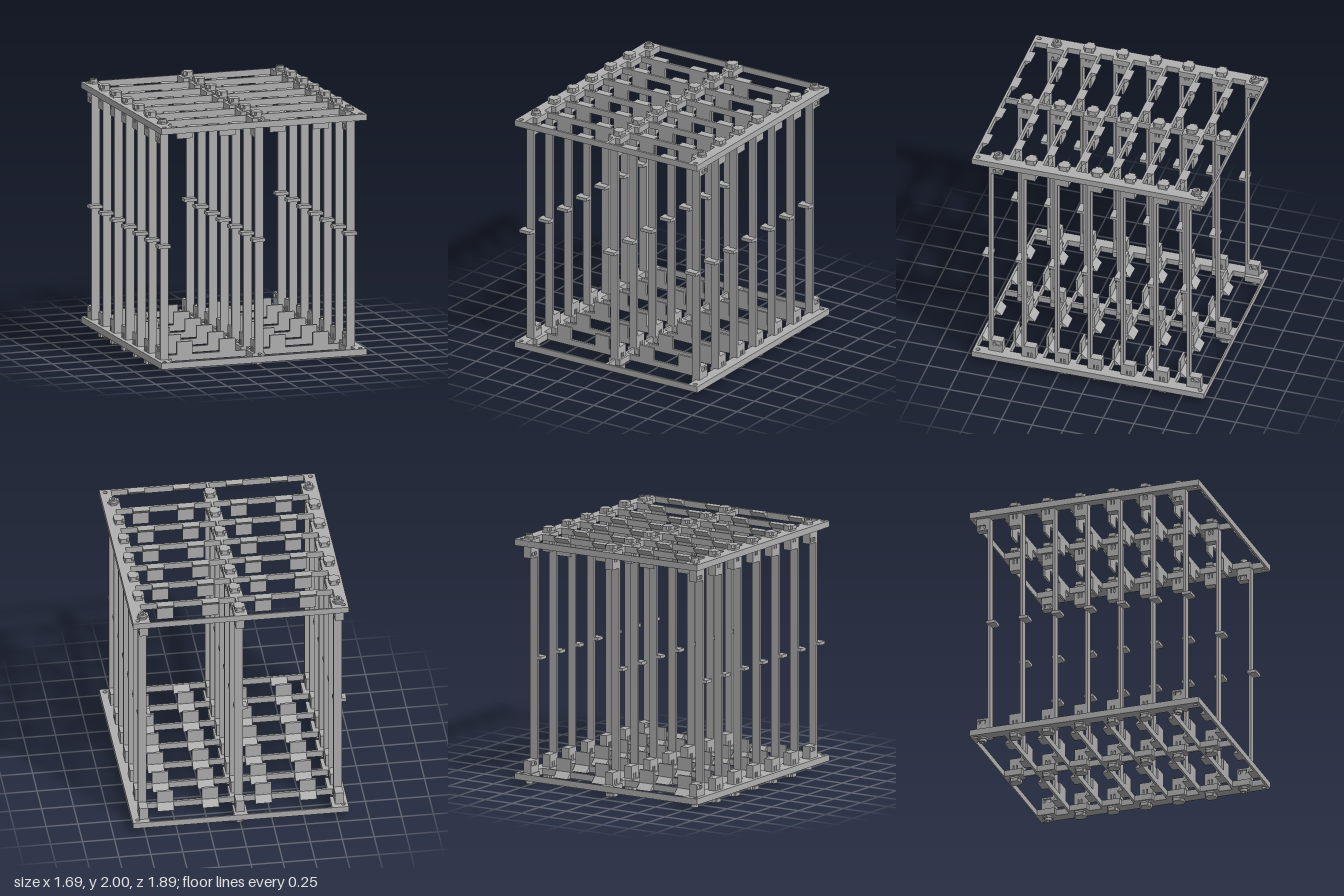
import * as THREE from 'three';

const ROWS = Array.from({ length: 7 }, (_, i) => -0.857 + 0.268 * i); // z of each fastener row
const COLUMNS = [-0.778, 0, 0.754]; // x of each post column
const FLAPS = [-0.56, -0.21, 0.205, 0.558]; // x of the guide flaps
const HEAD = 0.008; // fasteners sit slightly off the post centre

const polygon = (points, Type = THREE.Shape) => new Type(points.map(([x, y]) => new THREE.Vector2(x, y)));
const rect = (x0, y0, x1, y1, Type) => polygon([[x0, y0], [x1, y0], [x1, y1], [x0, y1]], Type);
const ring = (r, n, Type) => polygon(Array.from({ length: n }, (_, i) => {
  const a = (i / n) * Math.PI * 2;
  return [r * Math.cos(a), r * Math.sin(a)];
}), Type);

// Shape drawn in plan (x, -z), raised from y0 to y1
function plan(shape, y0, y1) {
  return new THREE.ExtrudeGeometry(shape, { depth: y1 - y0, bevelEnabled: false, curveSegments: 8 })
    .rotateX(-Math.PI / 2).translate(0, y0, 0);
}

// Shape drawn in side profile (z, y), centred across width w in x
function profile(shape, w) {
  return new THREE.ExtrudeGeometry(shape, { depth: w, bevelEnabled: false })
    .rotateY(-Math.PI / 2).translate(w / 2, 0, 0);
}

function box(x0, x1, y0, y1, z0, z1) {
  return new THREE.BoxGeometry(x1 - x0, y1 - y0, z1 - z0)
    .translate((x0 + x1) / 2, (y0 + y1) / 2, (z0 + z1) / 2);
}

// Mirror a geometry from the bottom end to the top end, keeping faces outward
function flipToTop(source) {
  const g = source.index ? source.toNonIndexed() : source.clone();
  g.scale(1, -1, 1).translate(0, 2, 0);
  const p = g.attributes.position;
  const a = new THREE.Vector3(), b = new THREE.Vector3();
  for (let i = 0; i < p.count; i += 3) {
    a.fromBufferAttribute(p, i + 1);
    b.fromBufferAttribute(p, i + 2);
    p.setXYZ(i + 1, b.x, b.y, b.z);
    p.setXYZ(i + 2, a.x, a.y, a.z);
  }
  g.computeVertexNormals();
  return g;
}

// Frame plate with two columns of stepped openings and corner holes
function plateGeometry() {
  const s = rect(-0.845, -0.943, 0.845, 0.943);
  for (const z of ROWS) {
    const a = -(z - 0.075), b = -(z + 0.068), c = -(z + 0.174);
    s.holes.push(polygon([[-0.715, a], [-0.055, a], [-0.055, b], [-0.01, b],
      [-0.01, c], [-0.755, c], [-0.755, b], [-0.715, b]], THREE.Path));
    s.holes.push(polygon([[0.05, a], [0.71, a], [0.71, b], [0.755, b],
      [0.755, c], [0.01, c], [0.01, b], [0.05, b]], THREE.Path));
  }
  for (const x of [-0.807, 0.803]) {
    for (const z of [-0.905, 0.9]) {
      const hole = new THREE.Path();
      hole.absarc(x, z, 0.017, 0, Math.PI * 2);
      s.holes.push(hole);
    }
  }
  return plan(s, 0.045, 0.095);
}

export function createModel() {
  const model = new THREE.Group();
  model.name = 'rackFrame';
  const grey = new THREE.MeshStandardMaterial({ color: 0xb0b0b0 });
  grey.name = 'grey';

  const add = (name, geometry, x = 0, z = 0) => {
    const mesh = new THREE.Mesh(geometry, grey);
    mesh.name = name;
    mesh.position.set(x, 0, z);
    model.add(mesh);
  };
  // Geometry for the bottom end and its mirrored copy for the top end
  const pair = g => [['lower', g], ['upper', flipToTop(g)]];
  const addPair = (name, ends, x, z) => {
    for (const [end, g] of ends) add(end + name, g, x, z);
  };

  addPair('Plate', pair(plateGeometry()), 0, 0);

  // Post end blocks: slotted for clips, pocketed for nuts
  const clipShape = rect(-0.04, 0.095, 0.052, 0.195);
  clipShape.holes.push(rect(-0.01, 0.1, -0.001, 0.138, THREE.Path), rect(0.017, 0.1, 0.026, 0.138, THREE.Path));
  const clipBlock = pair(profile(clipShape, 0.068));
  const nutShape = rect(-0.04, 0.095, 0.052, 0.195);
  nutShape.holes.push(rect(-0.028, 0.152, 0.036, 0.18, THREE.Path));
  const nutBlock = pair(profile(nutShape, 0.068));
  const nut = pair(new THREE.CylinderGeometry(0.031, 0.031, 0.024, 6).translate(0, 0.166, 0.004));

  // Clip head with a side tongue, on a narrower neck
  const clipHead = pair(plan(polygon([[-0.05, -0.028], [-0.03, -0.028], [-0.022, -0.045], [0.02, -0.045],
    [0.035, -0.025], [0.035, 0.025], [0.02, 0.045], [-0.022, 0.045], [-0.03, 0.028], [-0.05, 0.028]]), 0, 0.028));
  const clipNeck = pair(box(-0.04, 0.028, 0.028, 0.046, -0.036, 0.036));

  // Bolt head with a hexagonal socket, on a washer
  const boltShape = ring(0.03, 20);
  boltShape.holes.push(ring(0.017, 6, THREE.Path));
  const boltHead = pair(plan(boltShape, 0.008, 0.036));
  const washer = pair(plan(ring(0.043, 6), 0.03, 0.046));

  const post = box(-0.034, 0.034, 0.095, 1.905, 0.051, 0.072);
  const postTab = box(-0.068, 0.034, 0.986, 1.012, 0.051, 0.126);

  // Posts and fasteners
  ROWS.forEach((z, row) => {
    COLUMNS.forEach((x, column) => {
      const bolted = (row === 0 || row === 6) && column !== 1;
      add('post', post, x, z);
      add('postTab', postTab, x, z);
      addPair('PostBlock', bolted ? nutBlock : clipBlock, x, z);
      if (bolted) {
        addPair('Nut', nut, x, z);
        addPair('BoltHead', boltHead, x + HEAD, z);
        addPair('Washer', washer, x + HEAD, z);
      } else {
        addPair('ClipHead', clipHead, x + HEAD, z);
        addPair('ClipNeck', clipNeck, x + HEAD, z);
      }
    });
  });

  // Lead-in ramps on every crossbar, upright flaps on the inner ones
  const ramp = pair(profile(polygon([[0.124, 0.045], [0.176, 0.045], [0.176, 0.095]]), 0.13));
  const flap = pair(box(-0.065, 0.065, 0.09, 0.196, 0.175, 0.193));
  ROWS.forEach((z, row) => {
    for (const x of FLAPS) {
      addPair('GuideRamp', ramp, x, z);
      if (row < 6) addPair('GuideFlap', flap, x, z);
    }
  });

  return model;
}
